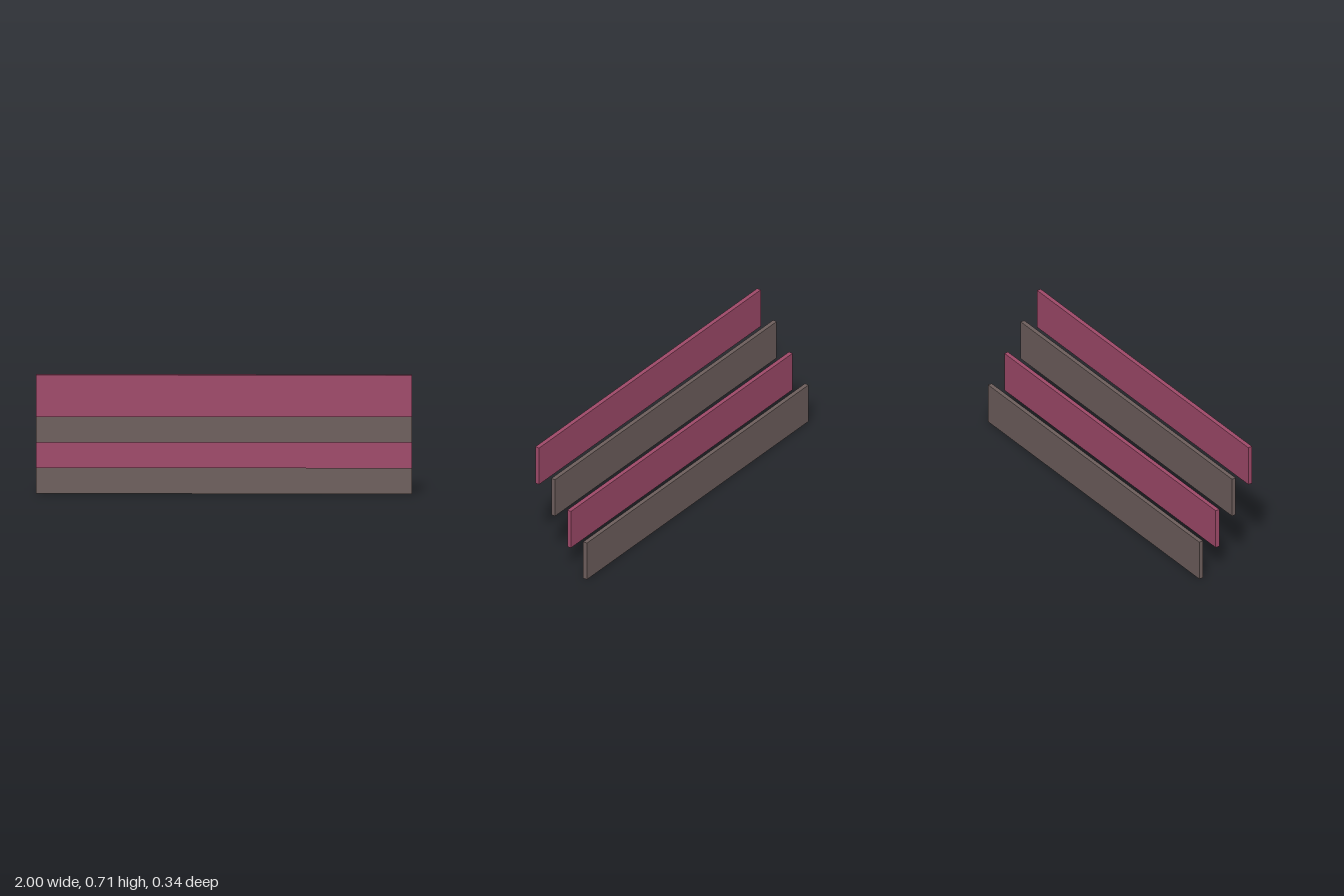
import * as THREE from 'three';

const COUNT = 4;
const LENGTH = 2;
const HEIGHT = 0.227;
const THICKNESS = 0.024;
const RISE = 0.1597; // vertical step between boards
const STEP = 0.105; // depth step between boards

export function createModel() {
  const taupe = new THREE.MeshStandardMaterial({ color: 0x6e5f5d });
  taupe.name = 'taupe';
  const raspberry = new THREE.MeshStandardMaterial({ color: 0xa04a6a });
  raspberry.name = 'raspberry';

  const group = new THREE.Group();
  group.name = 'steppedBoards';

  // Upright boards rising from the low back to the high front, colours alternating
  const board = new THREE.BoxGeometry(LENGTH, HEIGHT, THICKNESS);
  for (let i = 0; i < COUNT; i++) {
    const mesh = new THREE.Mesh(board, i % 2 ? raspberry : taupe);
    mesh.name = `board${i + 1}`;
    mesh.position.set(0, HEIGHT / 2 + i * RISE, (i - (COUNT - 1) / 2) * STEP);
    group.add(mesh);
  }
  return group;
}
